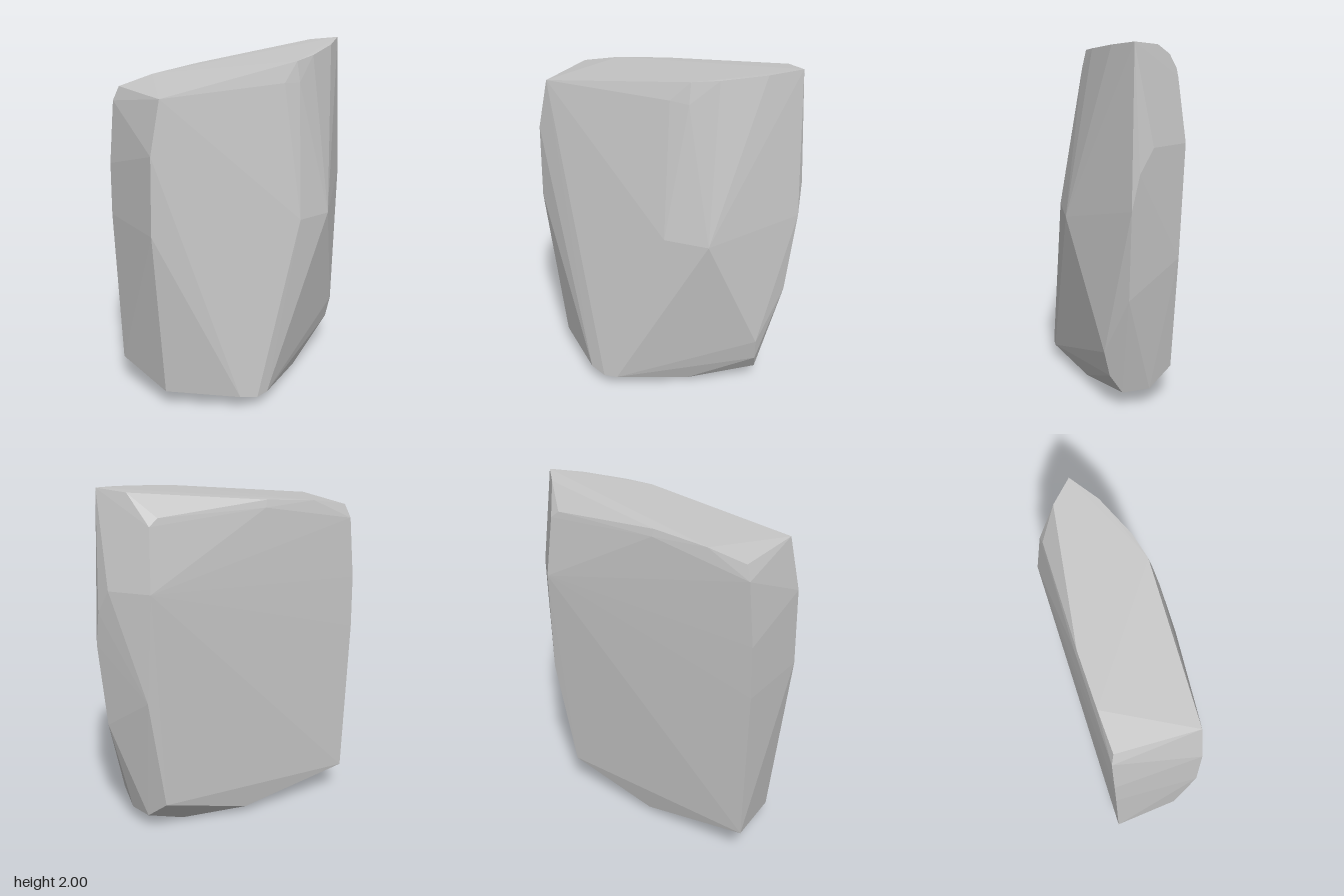
import * as THREE from 'three';
import { ConvexGeometry } from 'three/addons/geometries/ConvexGeometry.js';

const toVectors = (list) => list.map(([x, y, z]) => new THREE.Vector3(x, y, z));

export function createModel() {
  const model = new THREE.Group();
  model.name = 'rock';
  const stone = new THREE.MeshStandardMaterial({ color: 0xc5c5c5, flatShading: true });
  stone.name = 'stone grey';

  // sloping top facet
  const top = [
    [0.11, 1.83, 0.69], [0.145, 1.937, -0.2], [0.11, 1.952, -0.35], [0.01, 1.98, -0.58],
    [-0.1, 2.0, -0.735], [-0.22, 1.983, -0.62], [-0.34, 1.9, 0.14], [-0.337, 1.87, 0.45],
    [-0.33, 1.828, 0.67],
  ];
  // narrow front facet
  const front = [
    [-0.35, 1.75, 0.7], [-0.355, 1.4, 0.735], [-0.355, 1.1, 0.742], [-0.35, 0.18, 0.72],
    [0.11, 1.54, 0.755], [0.105, 1.1, 0.767], [0.05, 0.11, 0.68],
  ];
  // broad flat left-hand flank
  const flatFlank = [
    [-0.35, 1.86, 0.13], [-0.325, 1.86, -0.5], [-0.33, 1.82, -0.55], [-0.373, 1.48, -0.57],
    [-0.345, 0.87, -0.59], [-0.32, 0.21, -0.48], [-0.3, 0.04, 0.06],
  ];
  // bulging flank on +x
  const bulge = [
    [0.17, 1.83, -0.09], [0.17, 1.82, -0.2], [0.26, 1.04, -0.36], [0.3, 1.06, -0.11],
    [0.34, 0.09, 0.36], [0.372, 0.07, 0.26], [0.36, 0.07, 0.18],
  ];
  // back ridge
  const back = [
    [-0.13, 1.35, -0.763], [-0.09, 1.16, -0.765], [-0.2, 1.48, -0.732],
    [-0.08, 0.67, -0.715], [0.05, 0.34, -0.6], [0.02, 0.2, -0.59], [-0.05, 0.09, -0.57],
  ];
  // underside
  const base = [[-0.17, 0, -0.3], [0.15, 0.03, -0.2], [-0.2, 0.1, -0.54]];

  const points = toVectors([...top, ...front, ...flatFlank, ...bulge, ...back, ...base]);
  const body = new THREE.Mesh(new ConvexGeometry(points), stone);
  body.name = 'rockBody';
  model.add(body);
  return model;
}
